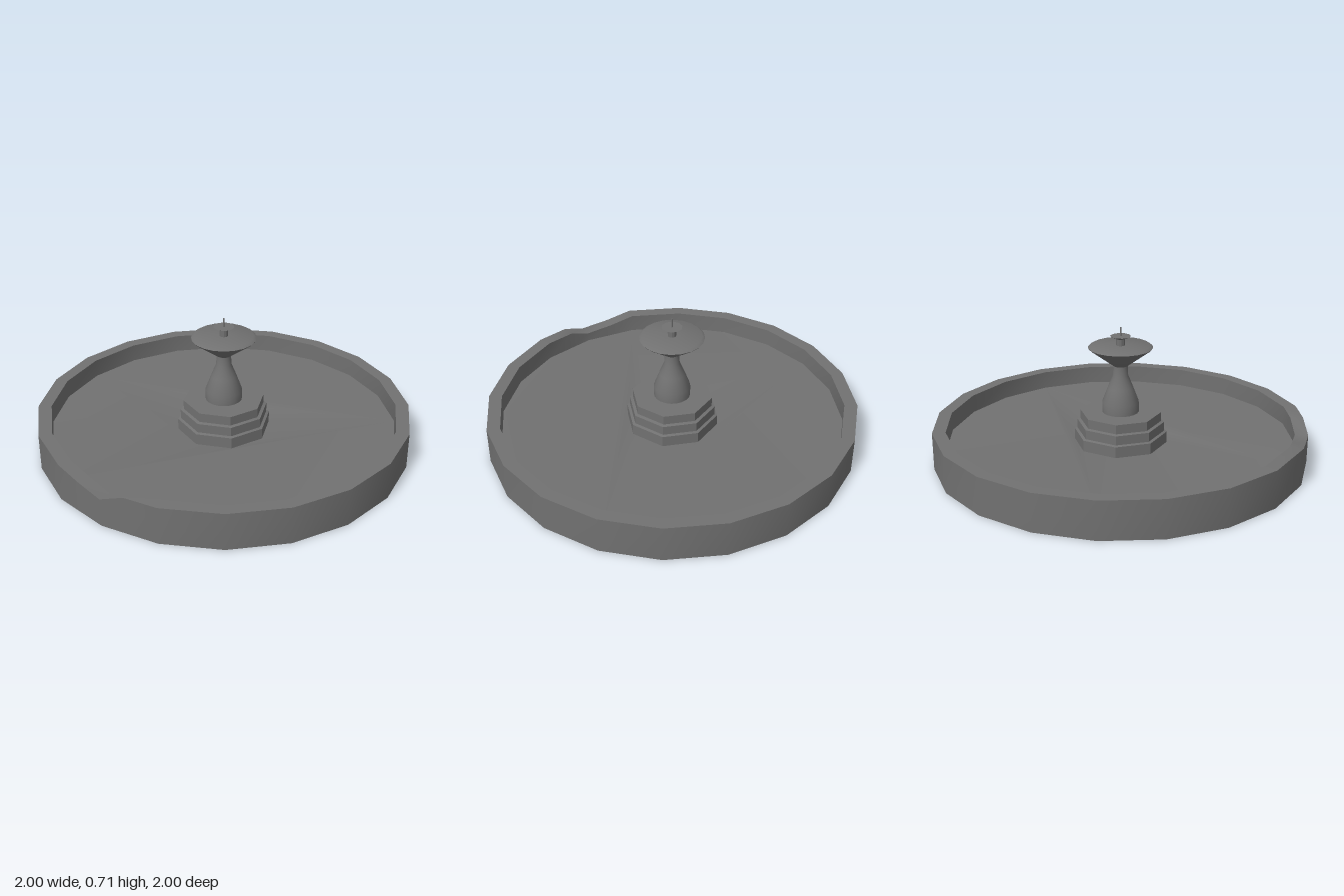
import * as THREE from 'three';
import { toCreasedNormals } from 'three/addons/utils/BufferGeometryUtils.js';

const SIDES = 20, INNER = 0.93, RIM = 0.2, FLOOR = 0.1, PLINTH = 0.25, PLINTH_BASE = 0.08;
const stone = new THREE.MeshStandardMaterial({ color: 0x717171, side: THREE.DoubleSide });

function part(name, geometry) {
  const mesh = new THREE.Mesh(toCreasedNormals(geometry, 0.6), stone);
  mesh.name = name;
  return mesh;
}

// Turned part from [radius, height] pairs, listed bottom to top
function turned(name, profile, sides) {
  return part(name, new THREE.LatheGeometry(profile.map(([r, y]) => new THREE.Vector2(r, y)), sides));
}

function polygon(PathType, radius, sides) {
  const pts = [];
  for (let i = 0; i < sides; i++) {
    const a = (i / sides) * Math.PI * 2;
    pts.push(new THREE.Vector2(radius * Math.sin(a), radius * Math.cos(a)));
  }
  return new PathType(pts);
}

// Hollow basin wall with a chip broken out of the front rim
function basinWall() {
  const plan = [];
  const edgeZ = x => 1 - Math.abs(x) * Math.tan(Math.PI / SIDES); // on the two front edges
  for (let i = 0; i < SIDES; i++) {
    const a = (i / SIDES) * Math.PI * 2;
    if (i === 0) plan.push([0, 1, 0.15], [0.13, edgeZ(0.13), RIM]);
    else plan.push([Math.sin(a), Math.cos(a), RIM]);
  }
  plan.push([-0.16, edgeZ(-0.16), 0.17]);

  const positions = [], index = [], n = plan.length;
  for (const [x, z, top] of plan) {
    positions.push(x, 0, z, x, top, z);
    positions.push(x * INNER, top, z * INNER, x * INNER, FLOOR, z * INNER);
  }
  for (let i = 0; i < n; i++) {
    for (let k = 0; k < 3; k++) {
      const a = i * 4 + k, b = ((i + 1) % n) * 4 + k;
      index.push(a, b, b + 1, a, b + 1, a + 1);
    }
  }
  const geometry = new THREE.BufferGeometry();
  geometry.setAttribute('position', new THREE.Float32BufferAttribute(positions, 3));
  geometry.setIndex(index);
  return part('basinWall', geometry);
}

// Thin floor, falling gently to the open foot of the hollow plinth
function basinFloor() {
  const shape = polygon(THREE.Shape, INNER, SIDES);
  shape.holes.push(polygon(THREE.Path, PLINTH, 8));
  const geometry = new THREE.ShapeGeometry(shape).rotateX(-Math.PI / 2);
  const p = geometry.attributes.position;
  for (let i = 0; i < p.count; i++) {
    p.setY(i, Math.hypot(p.getX(i), p.getZ(i)) > 0.5 ? FLOOR : PLINTH_BASE);
  }
  return part('basinFloor', geometry);
}

export function createModel() {
  const group = new THREE.Group();
  group.name = 'fountain';
  group.add(basinWall(), basinFloor());

  // Octagonal plinth in three steps
  group.add(turned('plinth', [
    [PLINTH, PLINTH_BASE], [PLINTH, 0.14], [0.235, 0.145], [0.235, 0.195],
    [0.218, 0.2], [0.218, 0.25], [0.09, 0.25],
  ], 8));

  // Bottle-shaped column
  group.add(turned('column', [
    [0.098, 0.25], [0.098, 0.305], [0.068, 0.385], [0.041, 0.452], [0.038, 0.505],
  ], SIDES));

  // Upper bowl with a bevelled lip, filled level
  group.add(turned('upperBowl', [
    [0.038, 0.505], [0.168, 0.602], [0.172, 0.607], [0.157, 0.617], [0.02, 0.617],
  ], SIDES));

  // Small top dish on its stem, with a thin spout
  group.add(turned('dishStem', [[0.023, 0.617], [0.023, 0.652]], 10));
  group.add(turned('topDish', [[0.023, 0.652], [0.055, 0.667], [0.004, 0.667]], 10));
  group.add(turned('spout', [[0.004, 0.664], [0.004, 0.715], [0, 0.715]], 6));
  return group;
}
